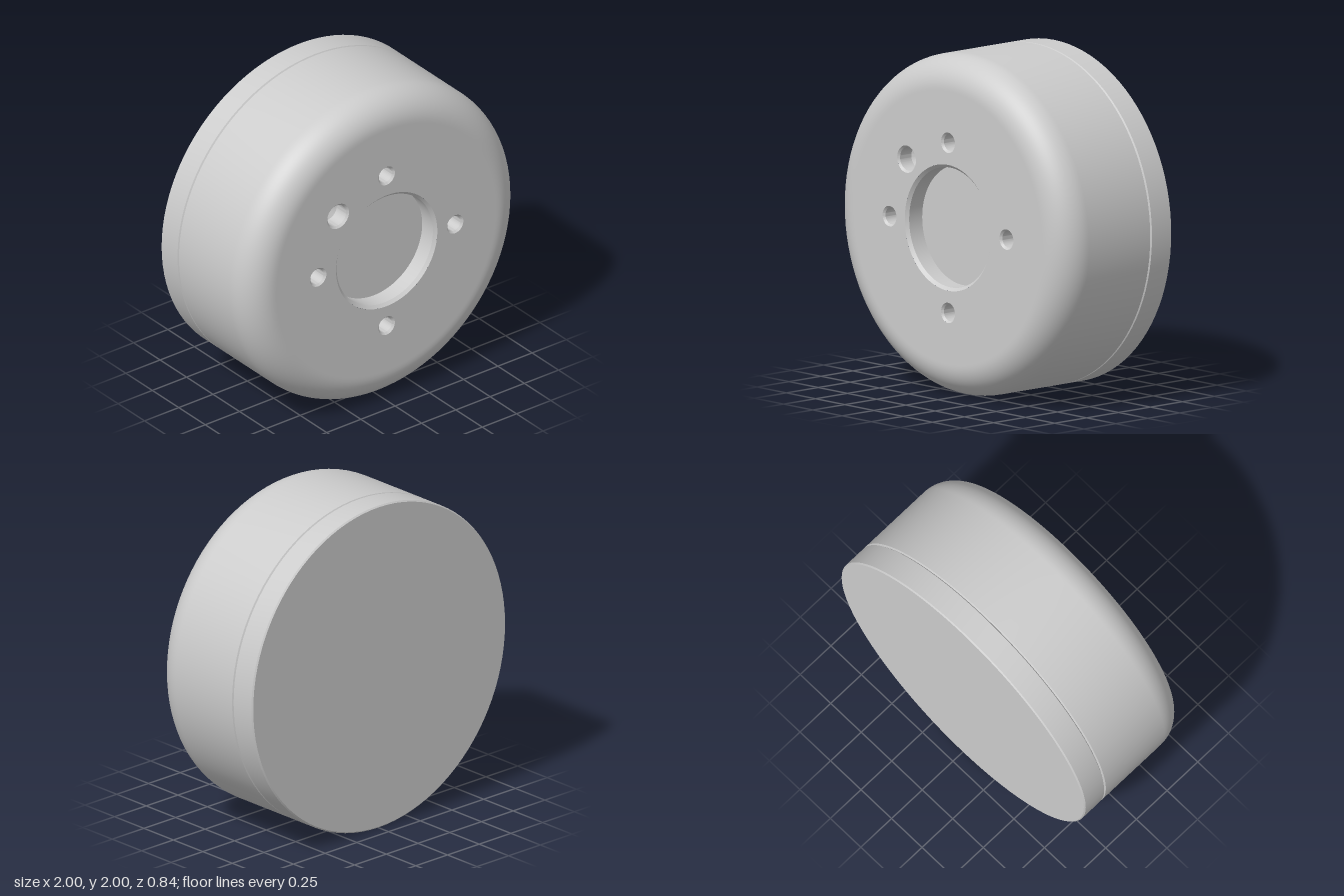
import * as THREE from 'three';
import { toCreasedNormals } from 'three/addons/utils/BufferGeometryUtils.js';

const SEG = 96;
const FRONT = 0.42, BACK = -0.42, FILLET = 0.19, FACE_R = 0.8;
const BORE_R = 0.37;
const material = new THREE.MeshStandardMaterial({ color: 0xcccccc });

// Revolves [radius, z] points around the z axis, keeping hard edges sharp
function turned(name, points, segments = SEG) {
  const lathe = new THREE.LatheGeometry(points.map(([r, z]) => new THREE.Vector2(r, z)), segments);
  lathe.rotateX(Math.PI / 2);
  const mesh = new THREE.Mesh(toCreasedNormals(lathe, 0.5), material);
  mesh.name = name;
  return mesh;
}

// Chamfered blind hole with a conical bottom
function blindHole(name, { x, y, r, depth, cone }) {
  const chamfer = 0.012, inner = r - chamfer;
  const hole = turned(name, [
    [r, FRONT], [inner, FRONT - chamfer],
    [inner, FRONT - depth], [0, FRONT - depth - cone],
  ], SEG);
  hole.position.set(x, y, 0);
  return hole;
}

export function createModel() {
  const group = new THREE.Group();
  group.name = 'wheelHub';
  const hub = new THREE.Group();
  hub.name = 'hub';
  hub.position.y = 1;
  group.add(hub);

  // Back cover, with a fine bevel on both rims
  hub.add(turned('backCover', [
    [0, BACK], [0.992, BACK], [1, BACK + 0.008], [1, -0.262], [0.99, -0.255],
  ]));

  // Drum wall and rounded front shoulder
  const wall = [[0.99, -0.255], [1, -0.248]];
  for (let i = 0; i <= 16; i++) {
    const a = (i / 16) * Math.PI / 2;
    wall.push([1 - FILLET + FILLET * Math.cos(a), FRONT - FILLET + FILLET * Math.sin(a)]);
  }
  wall.push([FACE_R, FRONT]);
  hub.add(turned('drumWall', wall));

  // Four bolt holes and one larger locating hole
  const holes = [];
  for (let i = 0; i < 4; i++) {
    const a = i * Math.PI / 2;
    holes.push({ x: 0.5 * Math.cos(a), y: 0.5 * Math.sin(a), r: 0.06, depth: 0.12, cone: 0.03 });
  }
  holes.push({ x: -0.355, y: 0.355, r: 0.08, depth: 0.1, cone: 0.035 });
  holes.forEach((h, i) => hub.add(blindHole(i < 4 ? 'boltHole' : 'locatingHole', h)));

  // Flat front face pierced by the bore and the holes
  const face = new THREE.Shape().absarc(0, 0, FACE_R, 0, Math.PI * 2, false);
  for (const { x, y, r } of [{ x: 0, y: 0, r: BORE_R }, ...holes]) {
    face.holes.push(new THREE.Path().absarc(x, y, r, 0, Math.PI * 2, true));
  }
  const frontFace = new THREE.Mesh(new THREE.ShapeGeometry(face, SEG), material);
  frontFace.name = 'frontFace';
  frontFace.position.z = FRONT;
  hub.add(frontFace);

  // Central recess with chamfered mouth and flat floor
  hub.add(turned('centreBore', [
    [BORE_R, FRONT], [0.352, FRONT - 0.018], [0.352, FRONT - 0.12], [0, FRONT - 0.12],
  ]));

  return group;
}
